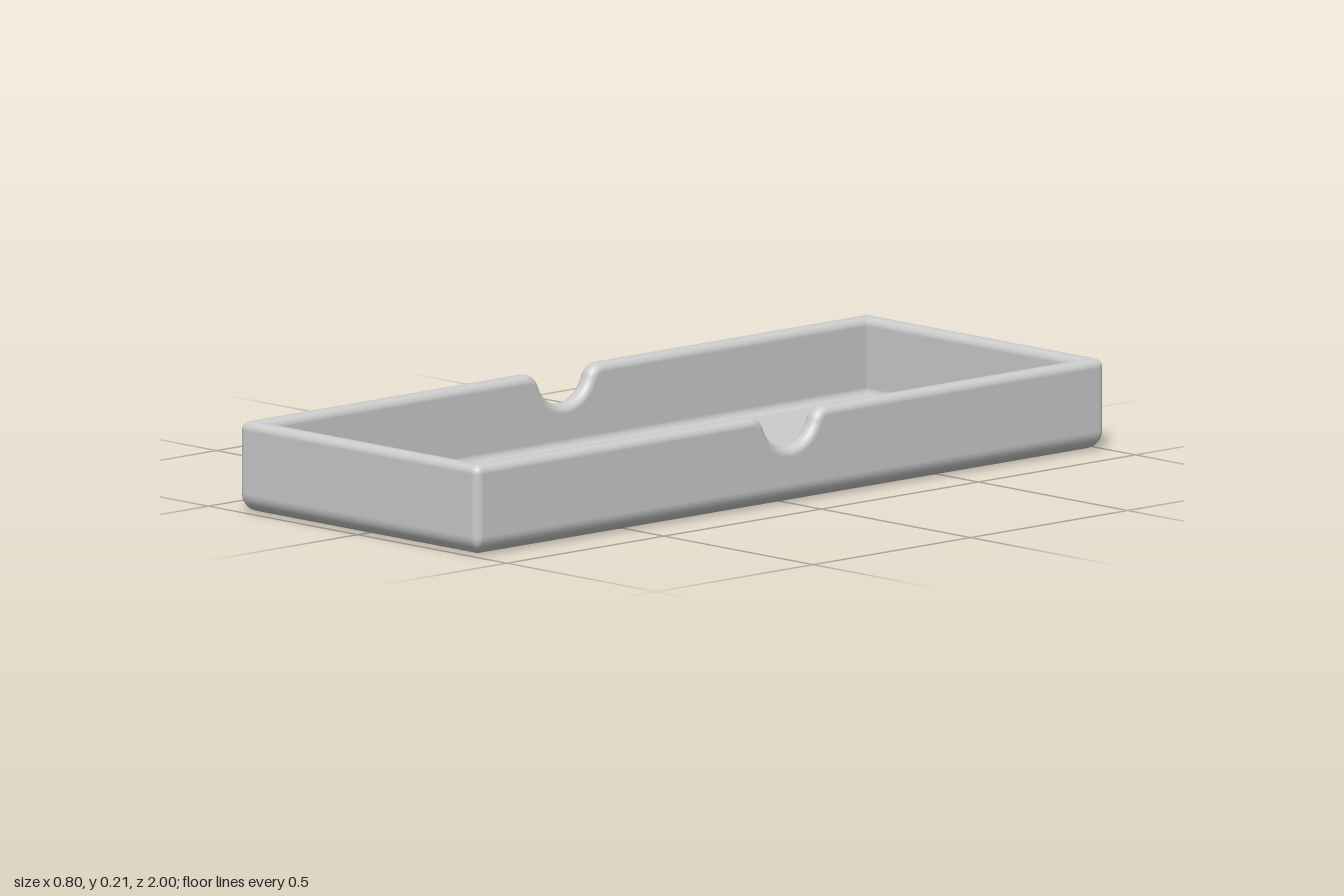
import * as THREE from 'three';

// Overall half sizes, wall and rounding dimensions
const HX = 0.4, HZ = 1, TOP = 0.213;
const WALL = 0.045, FLOOR = 0.03;
const R_BASE = 0.045, R_RIM = 0.02, R_INNER = 0.02, R_CORNER = 0.02;
const NOTCH = { r: 0.085, y: 0.215, fillet: 0.043, z: 0.12 };
const STEPS = 8;

// Rim line along a long side: z, y and the normal pointing out of the wall
function notchLine() {
  const { r, y, fillet, z } = NOTCH;
  const max = Math.atan2(z, y - (TOP - fillet));
  const half = [];
  for (let i = 1; i <= 12; i++) {
    const a = (max * i) / 12, s = Math.sin(a), c = Math.cos(a);
    half.push({ z: r * s, y: y - r * c, nz: -s, ny: c });
  }
  for (let i = 9; i >= 0; i--) {
    const a = (max * i) / 10, s = Math.sin(a), c = Math.cos(a);
    half.push({ z: z - fillet * s, y: TOP - fillet + fillet * c, nz: -s, ny: c });
  }
  const mirrored = half.map((p) => ({ ...p, z: -p.z, nz: -p.nz })).reverse();
  return [...mirrored, { z: 0, y: y - r, nz: 0, ny: 1 }, ...half];
}

// Stations around the outline: rounded corners, with a notch on each long side
function outline() {
  const stations = [];
  const corner = (sx, sz, start) => {
    for (let i = 0; i <= STEPS; i++) {
      const a = start + (Math.PI / 2) * (i / STEPS);
      stations.push({ sx, sz, dx: Math.cos(a), dz: Math.sin(a), y: TOP, nz: 0, ny: 1 });
    }
  };
  const side = (sx) => {
    const line = notchLine();
    if (sx < 0) line.reverse();
    for (const p of line) stations.push({ ...p, sx, sz: 0, dx: sx, dz: 0 });
  };
  side(1);
  corner(1, 1, 0);
  corner(-1, 1, Math.PI / 2);
  side(-1);
  corner(-1, -1, Math.PI);
  corner(1, -1, Math.PI * 1.5);
  stations.push(stations[0]);
  return stations;
}

// Wall section from the underside, over the rim, to the floor.
// d: inset from the outside, y: fixed height or e: depth below the rim,
// a / b: sideways and upward parts of the normal
function section() {
  const rings = [{ centre: true, y: 0, a: 0, b: -1 }];
  const arc = (make) => {
    for (let i = 0; i <= STEPS; i++) {
      const t = (Math.PI / 2) * (i / STEPS);
      rings.push(make(Math.sin(t), Math.cos(t)));
    }
  };
  arc((s, c) => ({ d: R_BASE * (1 - s), y: R_BASE * (1 - c), a: s, b: -c }));
  arc((s, c) => ({ d: R_RIM * (1 - c), e: R_RIM * (1 - s), a: c, b: s }));
  arc((s, c) => ({ d: WALL - R_RIM * (1 - s), e: R_RIM * (1 - c), a: -s, b: c }));
  arc((s, c) => ({ d: WALL + R_INNER * (1 - c), y: FLOOR + R_INNER * (1 - s), a: -c, b: s }));
  rings.push({ centre: true, y: FLOOR, a: 0, b: 1 });
  return rings;
}

function trayGeometry() {
  const stations = outline(), rings = section();
  const position = [], normal = [], index = [];
  for (const ring of rings) {
    for (const s of stations) {
      const onRim = ring.e !== undefined;
      if (ring.centre) {
        position.push(0, ring.y, 0);
      } else {
        const e = onRim ? ring.e : R_RIM;
        const y = onRim ? s.y - s.ny * e : ring.y;
        const r = Math.max(0, R_CORNER - ring.d);
        if (s.sz) {
          position.push(s.sx * (HX - ring.d - r) + s.dx * r, y, s.sz * (HZ - ring.d - r) + s.dz * r);
        } else {
          position.push(s.sx * (HX - ring.d), y, s.z - s.nz * e);
        }
      }
      const ny = onRim ? s.ny : 1, nz = onRim ? s.nz : 0;
      normal.push(ring.a * s.dx, ring.b * ny, ring.a * s.dz + ring.b * nz);
    }
  }
  const n = stations.length;
  for (let r = 0; r < rings.length - 1; r++) {
    for (let i = 0; i < n - 1; i++) {
      const a = r * n + i, b = a + n;
      index.push(a, b, a + 1, b, b + 1, a + 1);
    }
  }
  const geometry = new THREE.BufferGeometry();
  geometry.setAttribute('position', new THREE.Float32BufferAttribute(position, 3));
  geometry.setAttribute('normal', new THREE.Float32BufferAttribute(normal, 3));
  geometry.setIndex(index);
  return geometry;
}

export function createModel() {
  const group = new THREE.Group();
  group.name = 'notchedTray';
  const grey = new THREE.MeshStandardMaterial({ color: 0xcccccc });
  grey.name = 'light grey';
  const tray = new THREE.Mesh(trayGeometry(), grey);
  tray.name = 'tray';
  group.add(tray);
  return group;
}
